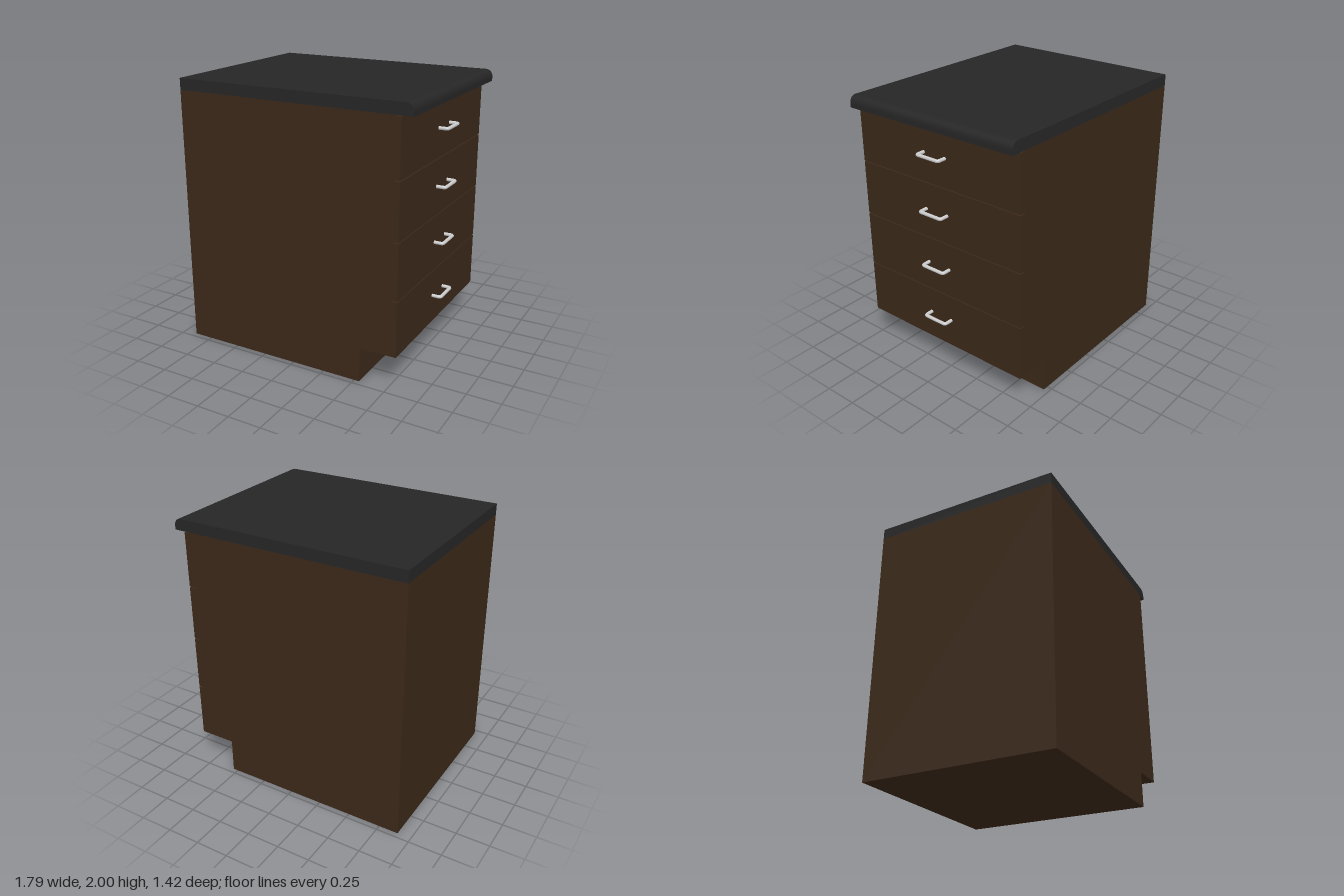
import * as THREE from 'three';

const DEPTH = 1.42; // full width along z
const wood = new THREE.MeshStandardMaterial({ color: 0x3b2819 });
const stone = new THREE.MeshStandardMaterial({ color: 0x262626 });
const metal = new THREE.MeshStandardMaterial({ color: 0xcccccc });

// Side profile (x, y) extruded along z and centred
function extrudeProfile(shape, material, name) {
  const geometry = new THREE.ExtrudeGeometry(shape, {
    depth: DEPTH, bevelEnabled: false, curveSegments: 10,
  });
  geometry.translate(0, 0, -DEPTH / 2);
  const mesh = new THREE.Mesh(geometry, material);
  mesh.name = name;
  return mesh;
}

// U-shaped bar handle with rounded corners, mounted at x = 0
function createHandle() {
  const half = 0.095, reach = 0.065, r = 0.018;
  const v = (x, z) => new THREE.Vector3(x, 0, z);
  const path = new THREE.CurvePath();
  path.add(new THREE.LineCurve3(v(-0.005, half), v(reach - r, half)));
  path.add(new THREE.QuadraticBezierCurve3(v(reach - r, half), v(reach, half), v(reach, half - r)));
  path.add(new THREE.LineCurve3(v(reach, half - r), v(reach, r - half)));
  path.add(new THREE.QuadraticBezierCurve3(v(reach, r - half), v(reach, -half), v(reach - r, -half)));
  path.add(new THREE.LineCurve3(v(reach - r, -half), v(-0.005, -half)));
  const handle = new THREE.Mesh(new THREE.TubeGeometry(path, 64, 0.0125, 14), metal);
  handle.name = 'handle';
  return handle;
}

export function createModel() {
  const model = new THREE.Group();
  model.name = 'drawerCabinet';

  // Carcass with a recessed toe kick
  const carcass = new THREE.Shape([
    [-0.897, 0], [0.54, 0], [0.54, 0.26], [0.77, 0.26], [0.77, 1.915], [-0.897, 1.915],
  ].map(([x, y]) => new THREE.Vector2(x, y)));
  model.add(extrudeProfile(carcass, wood, 'carcass'));

  // Worktop with a rounded overhanging front edge
  const top = new THREE.Shape();
  top.moveTo(-0.897, 1.915);
  top.lineTo(0.895, 1.915);
  top.lineTo(0.895, 1.945);
  top.bezierCurveTo(0.895, 1.975, 0.875, 2, 0.845, 2);
  top.lineTo(-0.897, 2);
  top.closePath();
  model.add(extrudeProfile(top, stone, 'worktop'));

  // Four equal drawers separated by narrow gaps
  const pitch = 0.414, height = 0.406;
  for (let i = 0; i < 4; i++) {
    const drawer = new THREE.Group();
    drawer.name = `drawer${i + 1}`;
    const front = new THREE.Mesh(new THREE.BoxGeometry(0.045, height, DEPTH), wood);
    front.name = 'drawerFront';
    front.position.x = 0.7925;
    const handle = createHandle();
    handle.position.set(0.815, 0.01, 0.0125);
    drawer.add(front, handle);
    drawer.position.y = 0.26 + height / 2 + i * pitch;
    model.add(drawer);
  }
  return model;
}
